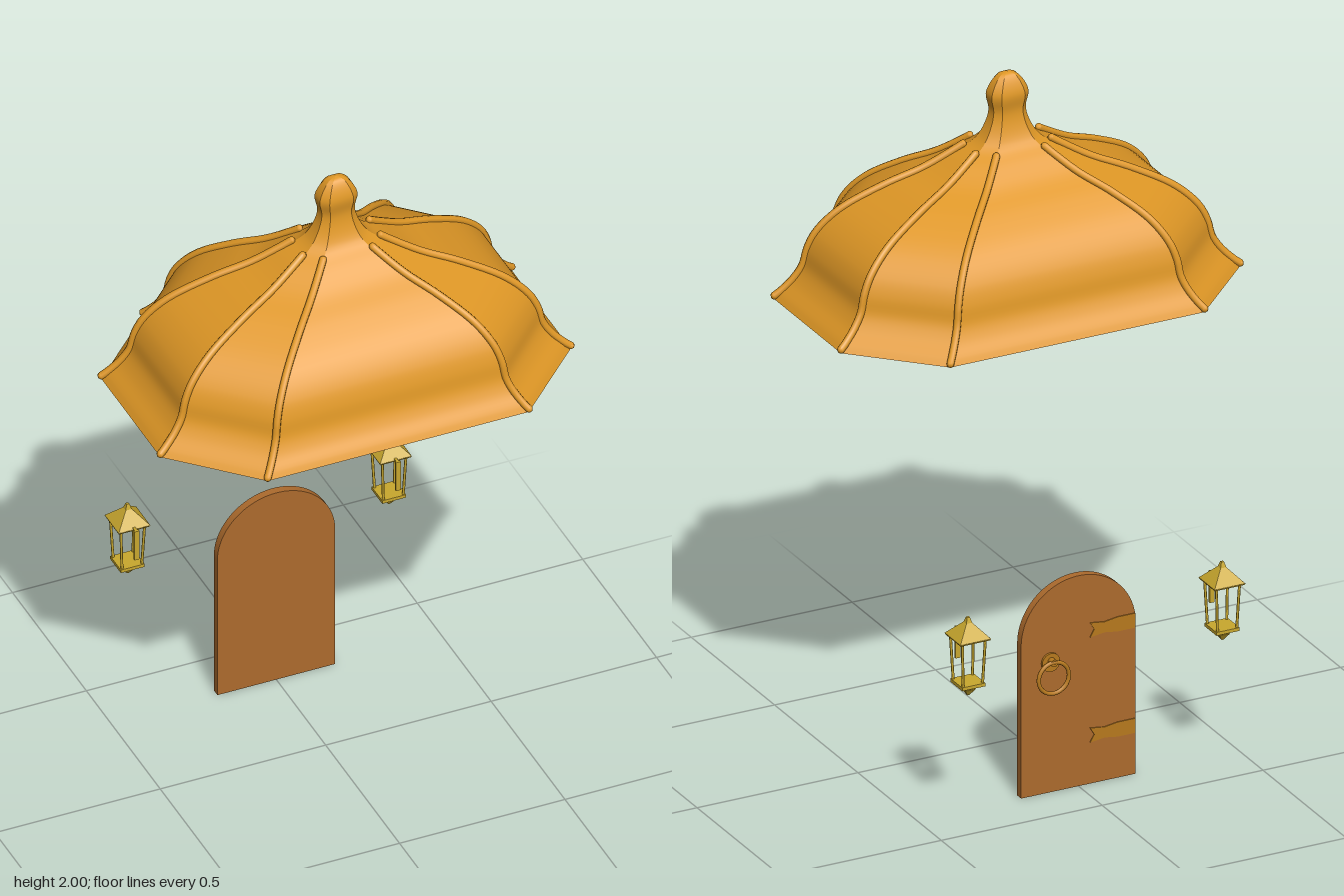
import * as THREE from 'three';

const mat = (name, color) => {
  const m = new THREE.MeshStandardMaterial({ color });
  m.name = name;
  return m;
};

export function createModel() {
  const roofOrange = mat('roof orange', 0xe09826);
  const doorBrown = mat('door brown', 0xad6b2d);
  const bronze = mat('bronze', 0xb87a1e);
  const brass = mat('brass', 0xc9a82e);
  const model = new THREE.Group();

  const add = (parent, name, geo, material, x = 0, y = 0, z = 0) => {
    const mesh = new THREE.Mesh(geo, material);
    mesh.name = name;
    mesh.position.set(x, y, z);
    parent.add(mesh);
    return mesh;
  };
  // Square frustum with flat faces, half widths at top and bottom
  const frustum = (top, bottom, h) => {
    const g = new THREE.CylinderGeometry(top * Math.SQRT2, bottom * Math.SQRT2, h, 4)
      .rotateY(Math.PI / 4).toNonIndexed();
    g.computeVertexNormals();
    return g;
  };

  // ---- Roof: stretched octagon scaled along a bell profile ----
  const roof = new THREE.Group();
  roof.name = 'roof';
  roof.position.z = 0.07;
  model.add(roof);
  const corners = [[0.62, 0.2], [0.395, 0.422], [-0.395, 0.422], [-0.62, 0.2],
    [-0.62, -0.2], [-0.395, -0.422], [0.395, -0.422], [0.62, -0.2]];
  const profile = [[1, 1.355], [0.975, 1.375], [0.92, 1.41], [0.88, 1.45], [0.86, 1.5],
    [0.82, 1.55], [0.72, 1.612], [0.53, 1.677], [0.36, 1.722], [0.24, 1.765], [0.14, 1.803],
    [0.095, 1.85], [0.08, 1.89], [0.092, 1.935], [0.075, 1.966], [0.04, 1.993], [0.001, 2]];
  const curve = new THREE.CatmullRomCurve3(profile.map(([s, y]) => new THREE.Vector3(s, y, 0)));
  const rows = curve.getPoints(64);
  const pos = [], index = [];
  corners.forEach((a, i) => {
    const b = corners[(i + 1) % 8];
    // panel
    const start = pos.length / 3;
    rows.forEach((p, r) => {
      pos.push(a[0] * p.x, p.y, a[1] * p.x, b[0] * p.x, p.y, b[1] * p.x);
      const k = start + r * 2;
      if (r < rows.length - 1) index.push(k, k + 2, k + 1, k + 1, k + 2, k + 3);
    });
    // underside wedge
    const u = pos.length / 3;
    pos.push(0, 1.355, 0, a[0], 1.355, a[1], b[0], 1.355, b[1]);
    index.push(u, u + 1, u + 2);
  });
  const shell = new THREE.BufferGeometry();
  shell.setAttribute('position', new THREE.Float32BufferAttribute(pos, 3));
  shell.setIndex(index);
  shell.computeVertexNormals();
  add(roof, 'roofShell', shell, roofOrange);

  // Ribs along the corners, with rounded ends
  const ribRows = profile.slice(0, 10).concat([[0.19, 1.785]]);
  corners.forEach(([x, z]) => {
    const path = new THREE.CatmullRomCurve3(
      ribRows.map(([s, y]) => new THREE.Vector3(x * s, Math.max(y + 0.003, 1.366), z * s)));
    add(roof, 'roofRib', new THREE.TubeGeometry(path, 40, 0.011, 8), roofOrange);
    [0, 1].forEach((t) => {
      const p = path.getPoint(t);
      add(roof, 'ribEnd', new THREE.SphereGeometry(0.011, 8, 6), roofOrange, p.x, p.y, p.z);
    });
  });

  // ---- Arched door, its outer face toward -z ----
  const door = new THREE.Group();
  door.name = 'door';
  model.add(door);
  const w = 0.178, spring = 0.462;
  const arch = new THREE.Shape();
  arch.moveTo(-w, 0);
  arch.lineTo(w, 0);
  arch.lineTo(w, spring);
  arch.absarc(0, spring, w, 0, Math.PI, false);
  arch.lineTo(-w, 0);
  add(door, 'doorPanel', new THREE.ExtrudeGeometry(arch,
    { depth: 0.024, bevelEnabled: false, curveSegments: 32 }), doorBrown, 0, 0, -0.358);

  // Strap hinges with a notched tip
  const strap = new THREE.Shape([[-0.175, -0.022], [-0.12, -0.022], [-0.08, -0.016], [-0.035, -0.022],
    [-0.048, 0], [-0.035, 0.022], [-0.08, 0.016], [-0.12, 0.022], [-0.175, 0.022]]
    .map(([x, y]) => new THREE.Vector2(x, y)));
  [0.148, 0.468].forEach((y) => add(door, 'hinge',
    new THREE.ExtrudeGeometry(strap, { depth: 0.004, bevelEnabled: false }), bronze, 0, y, -0.361));

  // Ring handle on a round plate
  const hx = 0.088;
  add(door, 'handlePlate', new THREE.CylinderGeometry(0.028, 0.028, 0.008, 20).rotateX(Math.PI / 2),
    bronze, hx, 0.397, -0.361);
  add(door, 'handleStud', new THREE.CylinderGeometry(0.011, 0.011, 0.02, 12).rotateX(Math.PI / 2),
    bronze, hx, 0.402, -0.374);
  add(door, 'handleRing', new THREE.TorusGeometry(0.047, 0.006, 10, 32), bronze, hx, 0.357, -0.38);

  // ---- Pair of wall lanterns ----
  [-1, 1].forEach((side) => {
    const lantern = new THREE.Group();
    lantern.name = side > 0 ? 'leftLantern' : 'rightLantern';
    lantern.position.set(side * 0.395, 0, -0.457);
    model.add(lantern);
    add(lantern, 'lanternRoof', frustum(0.009, 0.048, 0.042), brass, 0, 0.603, 0);
    add(lantern, 'lanternRoofRim', frustum(0.048, 0.046, 0.005), brass, 0, 0.58, 0);
    add(lantern, 'lanternFinial', frustum(0.004, 0.009, 0.016), brass, 0, 0.632, 0);
    add(lantern, 'lanternFloor', frustum(0.036, 0.036, 0.01), brass, 0, 0.441, 0);
    add(lantern, 'lanternCup', frustum(0.022, 0.014, 0.014), brass, 0, 0.429, 0);
    add(lantern, 'lanternTip', frustum(0.016, 0.003, 0.02), brass, 0, 0.413, 0);
    // corner posts leaning outward to the top
    [[-1, -1], [-1, 1], [1, -1], [1, 1]].forEach(([sx, sz]) => {
      const path = new THREE.LineCurve3(new THREE.Vector3(sx * 0.03, 0.443, sz * 0.03),
        new THREE.Vector3(sx * 0.036, 0.582, sz * 0.036));
      add(lantern, 'lanternPost', new THREE.TubeGeometry(path, 1, 0.004, 6), brass);
    });
    // wall bracket
    add(lantern, 'bracketArm', new THREE.BoxGeometry(0.008, 0.008, 0.05), brass, 0, 0.583, 0.04);
    add(lantern, 'bracketPlate', new THREE.BoxGeometry(0.015, 0.097, 0.007), brass, 0, 0.539, 0.062);
  });

  return model;
}
